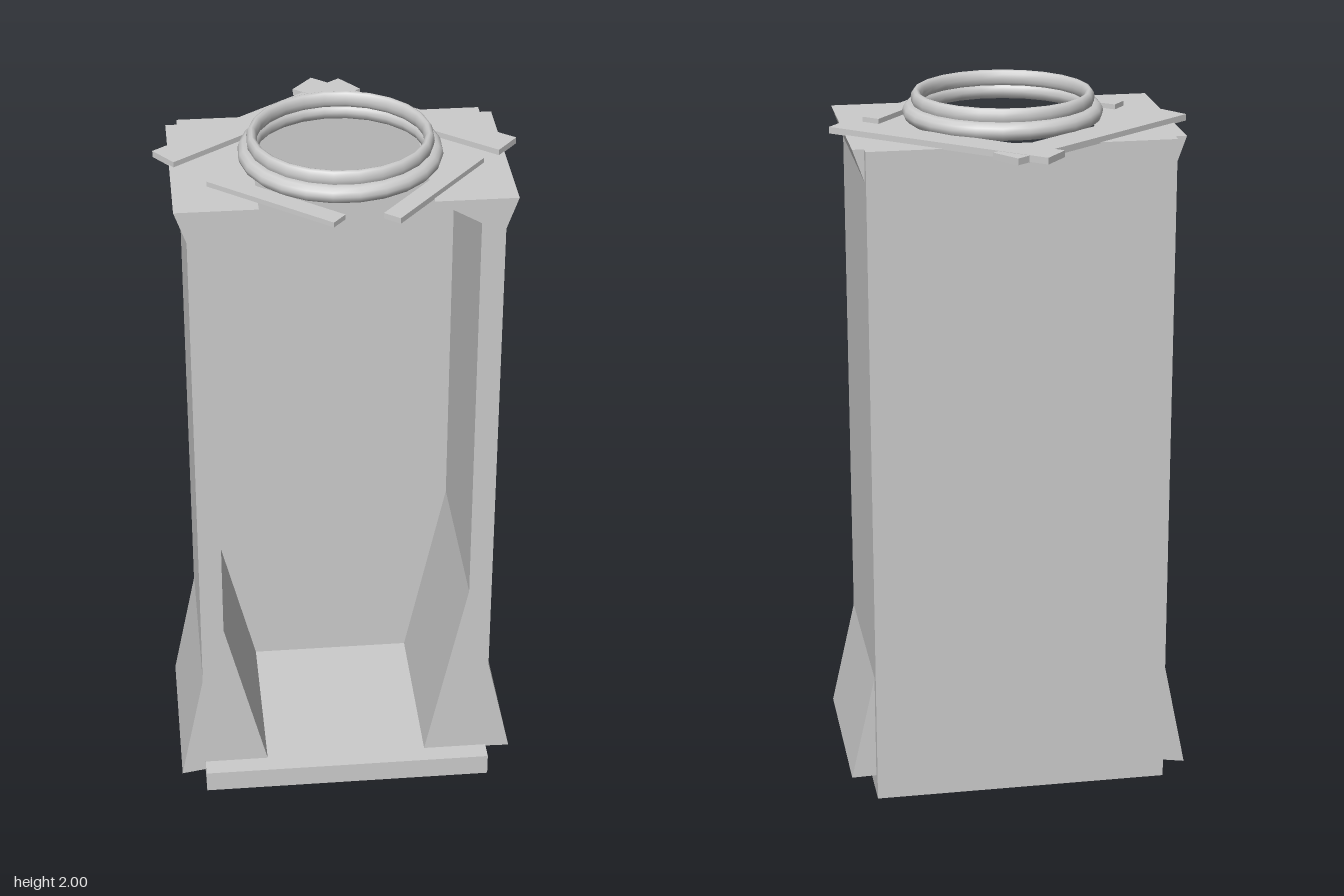
import * as THREE from 'three';

export function createModel() {
  const model = new THREE.Group();
  const flat = new THREE.MeshStandardMaterial({ color: 0xcccccc, flatShading: true, side: THREE.DoubleSide });
  const smooth = new THREE.MeshStandardMaterial({ color: 0xcccccc });

  const add = (parent, name, geometry, material = flat) => {
    const mesh = new THREE.Mesh(geometry, material);
    mesh.name = name;
    parent.add(mesh);
    return mesh;
  };

  // Box given by its limits on each axis
  const slab = (parent, name, x0, x1, y0, y1, z0, z1) =>
    add(parent, name, new THREE.BoxGeometry(x1 - x0, y1 - y0, z1 - z0))
      .position.set((x0 + x1) / 2, (y0 + y1) / 2, (z0 + z1) / 2);

  // Open-fronted shaft, turned on its base
  const shaft = new THREE.Group();
  shaft.name = 'shaft';
  shaft.rotation.y = 0.688;
  model.add(shaft);

  slab(shaft, 'floorSlab', -0.42, 0.42, 0, 0.065, -0.29, 0.31);
  slab(shaft, 'backWall', -0.42, 0.42, 0.02, 1.91, -0.29, -0.26);

  // Side walls: flared at the foot and head, inside and out
  const sideWall = (name, side, footY, rampY) => {
    const profile = [
      [0.235, 0.065], [0.49, footY], [0.42, 0.37], [0.42, 1.82],
      [0.452, 1.91], [0.23, 1.91], [0.355, 1.84], [0.355, rampY],
    ].map(([x, y]) => new THREE.Vector2(side * x, y));
    const geometry = new THREE.ExtrudeGeometry(new THREE.Shape(profile), { depth: 0.515, bevelEnabled: false });
    geometry.translate(0, 0, -0.26);
    add(shaft, name, geometry);
  };
  sideWall('leftWall', 1, 0.058, 0.64);
  sideWall('rightWall', -1, 0.025, 0.55);

  // Loose beams laid across the open top
  slab(model, 'backBeam', -0.335, 0.34, 1.908, 1.926, -0.36, -0.27);
  slab(model, 'leftBeam', 0.277, 0.329, 1.908, 1.924, -0.21, 0.2);
  slab(model, 'frontBeam', -0.205, 0.2, 1.91, 1.924, 0.262, 0.315);
  const rightBeam = add(model, 'rightBeam', new THREE.BoxGeometry(0.09, 0.018, 0.675));
  rightBeam.position.set(-0.306, 1.916, -0.063);
  rightBeam.rotation.y = -0.24;

  // Two stacked rings around the opening
  const ring = (name, radius, tube, y, halfHeight) => {
    const geometry = new THREE.TorusGeometry(radius, tube, 12, 24);
    geometry.rotateX(Math.PI / 2);
    geometry.scale(1, halfHeight / tube, 1);
    add(model, name, geometry, smooth).position.set(0.002, y, -0.008);
  };
  ring('lowerRing', 0.25, 0.026, 1.94, 0.025);
  ring('upperRing', 0.238, 0.014, 1.977, 0.023);

  return model;
}
